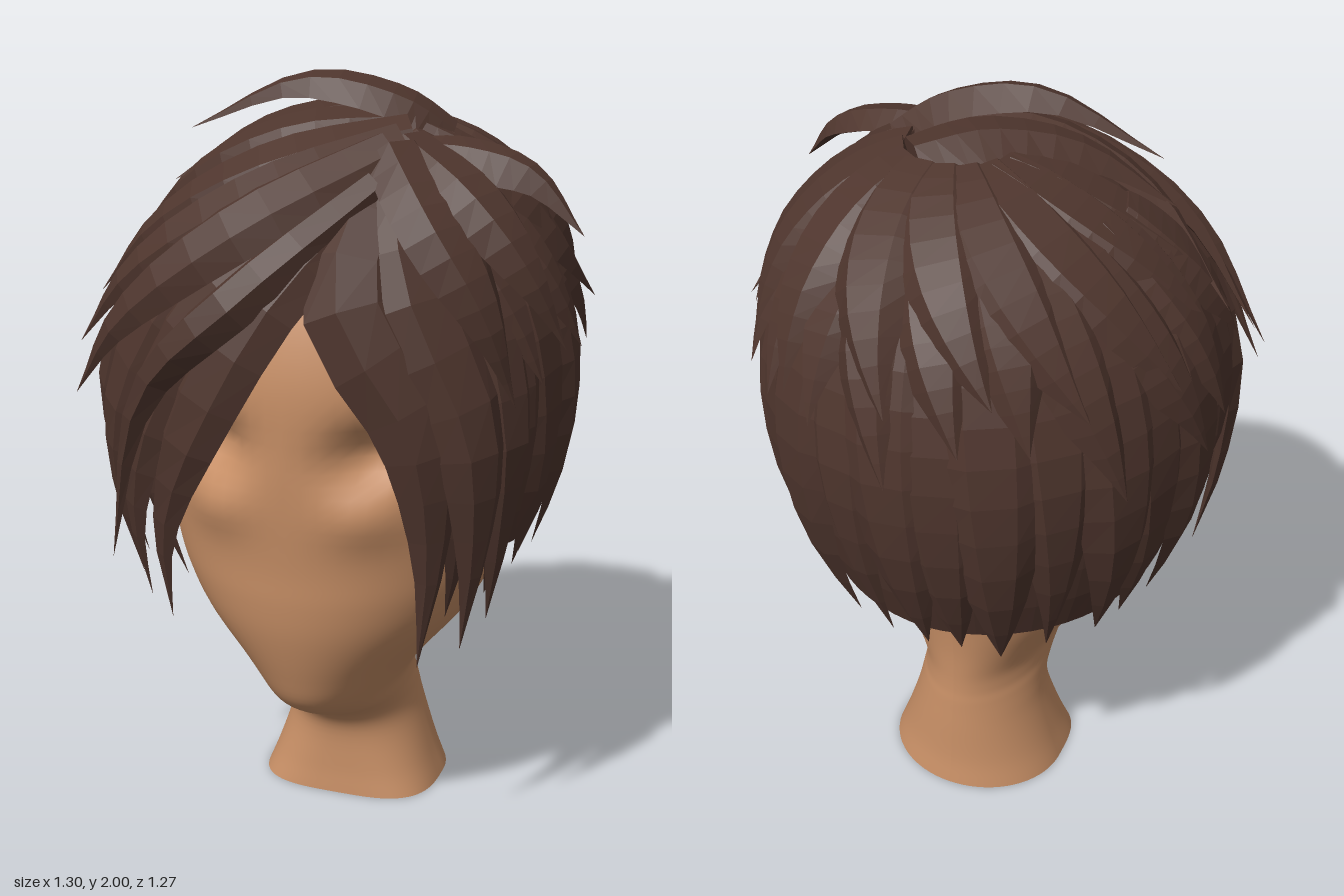
import * as THREE from 'three';

const hair = new THREE.MeshStandardMaterial({ color: 0x4e352d, side: THREE.DoubleSide });
hair.name = 'brown hair';
const skin = new THREE.MeshStandardMaterial({ color: 0xc68e65 });
skin.name = 'tan skin';

const V = (x, y, z) => new THREE.Vector3(x, y, z);
const lerp = THREE.MathUtils.lerp;
let seed = 7;
const jitter = (s) => {
  seed = (seed * 16807) % 2147483647;
  return (seed / 2147483647 * 2 - 1) * s;
};

// Grid of points (rows of equal length) to a surface
function loft(rows, flat, capStart) {
  const n = rows[0].length, index = [];
  for (let i = 0; i < rows.length - 1; i++)
    for (let j = 0; j < n - 1; j++) {
      const a = i * n + j, b = a + 1, c = a + n + 1, d = a + n;
      index.push(a, b, c, a, c, d);
    }
  if (capStart) for (let j = 1; j < n - 2; j++) index.push(0, j + 1, j);
  let g = new THREE.BufferGeometry().setFromPoints(rows.flat());
  g.setIndex(index);
  if (flat) g = g.toNonIndexed();
  g.computeVertexNormals();
  return g;
}

function add(parent, geometry, material, name) {
  const m = new THREE.Mesh(geometry, material);
  m.name = name;
  parent.add(m);
}

// Overall hair volume: azimuth in degrees (0 = front, 90 = +x), height, scale
function volume(a, y, k = 1) {
  const r = y > 1.25 ? Math.sqrt(Math.max(0, 1 - ((y - 1.25) / 0.62) ** 2)) : 1 - 0.7 * (1.25 - y) ** 2;
  const t = a * Math.PI / 180;
  return V(0.6 * r * k * Math.sin(t), y > 1.25 ? 1.25 + (y - 1.25) * k : y, 0.6 * r * k * Math.cos(t));
}

// Tapered, ridged lock along a path
const section = [[-1, -0.6], [-0.5, 0.35], [0.35, 0.5], [1, -0.6], [0, -0.7], [-1, -0.6]];
function lock(parent, path, width, thick, name, blunt = 2.5) {
  const curve = new THREE.CatmullRomCurve3(path), steps = 11, rows = [];
  for (let i = 0; i <= steps; i++) {
    const t = i / steps, p = curve.getPoint(t), T = curve.getTangent(t);
    const N = V(p.x, p.y - Math.min(p.y, 1.25), p.z);
    N.addScaledVector(T, -N.dot(T)).normalize();
    const B = T.clone().cross(N);
    const taper = (0.6 + 0.4 * Math.sin(Math.PI * Math.min(1, t + 0.1))) * (1 - t ** blunt) + 0.004;
    const w = width * taper, h = thick * Math.min(1, taper * 1.3);
    rows.push(section.map(([u, v]) => p.clone().addScaledVector(B, u * w).addScaledVector(N, v * h)));
  }
  add(parent, loft(rows, true, true), hair, name);
}

// Lock that hangs down the hair volume
function hang(parent, a0, y0, a1, y1, k0, k1, width, thick, name, blunt, shift = 0) {
  const path = [];
  for (let i = 0; i <= 6; i++) {
    const t = i / 6;
    const p = volume(lerp(a0, a1, t), lerp(y0, y1, t ** 1.4), lerp(k0, k1, t * t));
    path.push(p.add(V(shift * (1 - t), 0, -0.6 * shift * (1 - t))));
  }
  lock(parent, path, width, thick, name, blunt);
}

// Fan of locks blended from a first path to a last path, bulging between them
function fan(parent, count, width, name, first, last) {
  for (let i = 0; i < count; i++) {
    const t = i / (count - 1), bulge = 1 + 0.07 * Math.sin(Math.PI * t);
    const path = first.map((p, j) => V(...p).lerp(V(...last[j]), t).multiply(V(bulge, 1, bulge)));
    lock(parent, path, width, 0.045, name);
  }
}

function table(rows, x) {
  let i = 0;
  while (i < rows.length - 2 && x > rows[i + 1][0]) i++;
  const [a, b] = [rows[i], rows[i + 1]];
  return lerp(a[1], b[1], (x - a[0]) / (b[0] - a[0]));
}

function buildHead(parent) {
  // height, half width, front z, back z
  const levels = [
    [0, 0.255, 0.13, -0.325], [0.08, 0.225, 0.122, -0.31], [0.19, 0.19, 0.122, -0.3],
    [0.25, 0.178, 0.155, -0.294], [0.29, 0.175, 0.215, -0.29], [0.33, 0.176, 0.3, -0.285],
    [0.39, 0.19, 0.38, -0.282], [0.48, 0.25, 0.42, -0.283], [0.6, 0.35, 0.455, -0.295],
    [0.7, 0.41, 0.47, -0.32], [0.8, 0.45, 0.475, -0.36], [0.95, 0.48, 0.488, -0.42],
    [1.1, 0.495, 0.495, -0.46], [1.3, 0.495, 0.49, -0.48], [1.5, 0.44, 0.43, -0.45],
    [1.65, 0.33, 0.32, -0.34], [1.77, 0.003, 0.003, -0.003]];
  const front = new THREE.CatmullRomCurve3(levels.map(l => V(l[1], l[0], l[2])), false, 'catmullrom');
  const back = new THREE.CatmullRomCurve3(levels.map(l => V(l[3], l[0], 0)), false, 'catmullrom');
  const bump = (x, y, cx, cy, sx, sy) => Math.exp(-(((x - cx) / sx) ** 2) - ((y - cy) / sy) ** 2);
  const rows = [], steps = (levels.length - 1) * 5;
  for (let i = 0; i <= steps; i++) {
    const f = front.getPoint(i / steps), zb = back.getPoint(i / steps).x;
    const mid = (f.z + zb) / 2, depth = (f.z - zb) / 2, row = [];
    // the foot of the neck is squarer at the front
    const square = 1 - 0.4 * Math.max(0, 1 - f.y / 0.25);
    for (let j = 0; j <= 72; j++) {
      const t = j / 72 * Math.PI * 2 + Math.PI, s = Math.sin(t), c = Math.cos(t);
      const e = c > 0 ? square : 1;
      const p = V(f.x * Math.sign(s) * Math.abs(s) ** e, f.y, mid + depth * Math.sign(c) * Math.abs(c) ** e);
      // eye sockets and cheekbones
      if (p.z > 0.1) {
        const x = Math.abs(p.x);
        p.z += 0.025 * bump(x, p.y, 0.2, 0.95, 0.1, 0.07) - 0.085 * bump(x, p.y, 0.2, 1.11, 0.085, 0.07);
      }
      row.push(p);
    }
    rows.push(row);
  }
  add(parent, loft(rows, false), skin, 'headAndNeck');
  add(parent, loft([rows[0].map(() => V(0, 0, -0.1)), rows[0]], true), skin, 'neckBase');
}

function buildHair(parent) {
  // Under-layer cap with a hairline that opens over the face
  const hairline = [[-180, 0.7], [-120, 0.73], [-60, 0.82], [-40, 0.95], [-15, 1.4], [5, 1.56], [20, 1.5], [32, 1.3], [45, 0.85], [90, 0.8], [125, 0.72], [180, 0.7]];
  const cap = [];
  for (let i = 0; i <= 14; i++) {
    const row = [];
    for (let j = 0; j <= 60; j++) {
      const a = 180 - j * 6, t = i / 14;
      row.push(volume(a, lerp(1.87, table(hairline, a), t ** 1.5), 0.95));
    }
    cap.push(row);
  }
  add(parent, loft(cap, true), hair, 'hairCap');

  // Long lower layer of broad locks around sides and back
  const ends = [[48, 0.66], [75, 0.72], [95, 0.76], [115, 0.67], [140, 0.62], [180, 0.64], [220, 0.63], [280, 0.72], [312, 0.68]];
  for (let i = 0; i < 19; i++) {
    const a = 50 + i * 14.4;
    hang(parent, a - 8 + jitter(4), 1.7, a + jitter(3), table(ends, a) + jitter(0.03),
      0.97 + (i % 2) * 0.02, 0.99 + (i % 2) * 0.02, 0.135, 0.04, 'lowerLock', i % 4 ? 7 : 3.5);
  }

  // Middle layer with flicked tips
  for (let i = 0; i < 13; i++) {
    const a = 62 + i * 18.5;
    hang(parent, a - 12 + jitter(5), 1.77, a + 6 + jitter(6), 1.3 + jitter(0.12), 1, 1.06, 0.125, 0.05, 'middleLock', 3.5);
  }

  // Crown layer swirling from the whorl
  for (let i = 0; i < 11; i++) {
    const a = 68 + i * 22;
    hang(parent, a - 20, 1.855, a + jitter(7), 1.48 + jitter(0.09), 1.02, 1.07, 0.125, 0.05, 'crownLock', 4, 0.07);
  }

  // Fringe falling from the parting to either side of the face
  fan(parent, 4, 0.12, 'longSweptLock',
    [[0.19, 1.78, 0.32], [-0.03, 1.53, 0.53], [-0.21, 1.2, 0.58], [-0.32, 0.9, 0.52], [-0.33, 0.63, 0.45]],
    [[0.15, 1.83, 0.2], [-0.3, 1.62, 0.4], [-0.53, 1.28, 0.35], [-0.56, 0.95, 0.27], [-0.52, 0.7, 0.2]]);
  fan(parent, 4, 0.105, 'shortSweptLock',
    [[0.2, 1.84, 0.29], [-0.1, 1.68, 0.49], [-0.4, 1.45, 0.52], [-0.6, 1.2, 0.41]],
    [[0.2, 1.89, 0.08], [-0.08, 1.87, 0.17], [-0.36, 1.74, 0.17], [-0.6, 1.53, 0.05]]);
  fan(parent, 3, 0.125, 'longLeftLock',
    [[0.2, 1.8, 0.3], [0.18, 1.52, 0.51], [0.35, 1.2, 0.5], [0.37, 0.9, 0.46], [0.33, 0.58, 0.44]],
    [[0.23, 1.82, 0.25], [0.43, 1.55, 0.32], [0.52, 1.2, 0.33], [0.5, 0.9, 0.3], [0.46, 0.66, 0.27]]);
  fan(parent, 2, 0.11, 'shortLeftLock',
    [[0.22, 1.84, 0.29], [0.36, 1.68, 0.4], [0.48, 1.48, 0.42], [0.54, 1.25, 0.36]],
    [[0.23, 1.85, 0.22], [0.42, 1.74, 0.31], [0.56, 1.57, 0.33], [0.64, 1.38, 0.28]]);

  // Single loose locks
  const single = (width, name, ...path) => lock(parent, path.map(p => V(...p)), width, 0.055, name, 3);
  single(0.07, 'looseFringeLock', [0.19, 1.76, 0.36], [-0.08, 1.52, 0.58], [-0.32, 1.28, 0.59], [-0.49, 0.78, 0.46]);
  single(0.13, 'crownSweptLock', [0.16, 1.88, -0.13], [0.02, 1.9, 0], [-0.2, 1.85, 0.11], [-0.42, 1.72, 0.16]);
  single(0.11, 'leftSideLock', [0.2, 1.87, 0.08], [0.38, 1.78, 0.04], [0.53, 1.6, -0.04], [0.62, 1.42, -0.18]);
  single(0.095, 'topFlyawayLock', [0.28, 1.85, 0.03], [0.16, 1.93, 0.07], [-0.08, 1.97, 0.11], [-0.38, 1.85, 0.14]);
  single(0.095, 'leftFlyawayLock', [0.23, 1.82, 0.18], [0.36, 1.82, 0.18], [0.53, 1.77, 0.19], [0.66, 1.64, 0.22]);
}

export function createModel() {
  seed = 7;
  const model = new THREE.Group();
  model.name = 'headWithShortHair';
  const head = new THREE.Group(), hairGroup = new THREE.Group();
  head.name = 'head';
  hairGroup.name = 'hair';
  model.add(head, hairGroup);
  buildHead(head);
  buildHair(hairGroup);
  return model;
}
